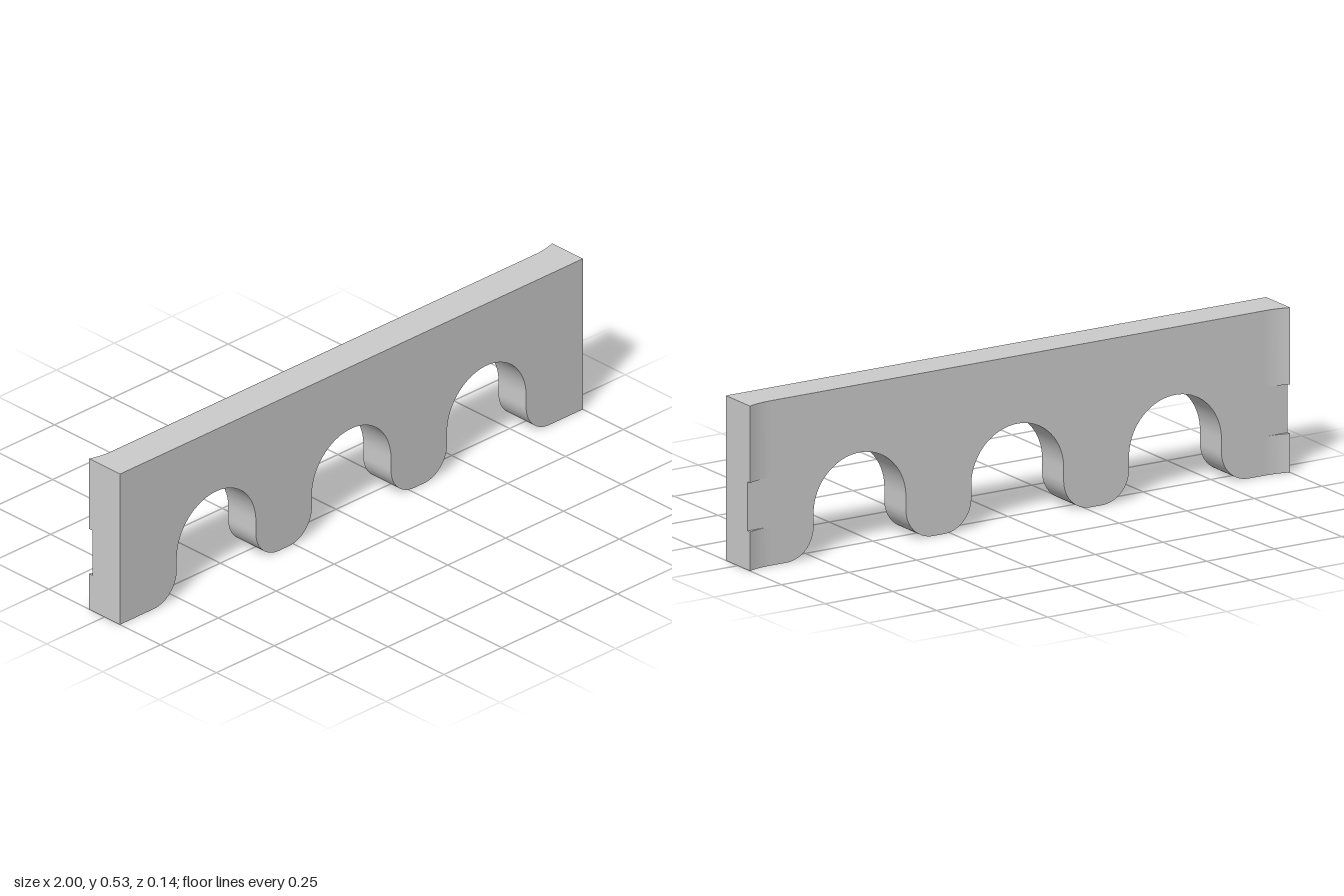
import * as THREE from 'three';
import { toCreasedNormals } from 'three/addons/utils/BufferGeometryUtils.js';

const HEIGHT = 0.534, FRONT = 0.069, BACK = 0.0545, FLARE = 0.0145, FLARE_WIDTH = 0.085;
const ARCH_R = 0.171, ARCH_Y = 0.143, FOOT_R = 0.1, ARCH_SPACING = 0.584;

const material = new THREE.MeshStandardMaterial({ color: 0xcccccc });

function extrude(shape, depth) {
  return new THREE.ExtrudeGeometry(shape, { depth, bevelEnabled: false, curveSegments: 24 });
}

function addMesh(group, name, geometry) {
  const mesh = new THREE.Mesh(toCreasedNormals(geometry, 0.5), material);
  mesh.name = name;
  group.add(mesh);
}

// Flat board with three arches and rounded feet along the lower edge
function panelShape() {
  const s = new THREE.Shape();
  s.moveTo(-1, 0);
  for (const i of [-1, 0, 1]) {
    const cx = i * ARCH_SPACING, footX = ARCH_R + FOOT_R;
    s.lineTo(cx - footX, 0);
    s.absarc(cx - footX, FOOT_R, FOOT_R, -Math.PI / 2, 0, false);
    s.lineTo(cx - ARCH_R, ARCH_Y);
    s.absarc(cx, ARCH_Y, ARCH_R, Math.PI, 0, true);
    s.lineTo(cx + ARCH_R, FOOT_R);
    s.absarc(cx + footX, FOOT_R, FOOT_R, Math.PI, Math.PI * 1.5, false);
  }
  s.lineTo(1, 0);
  s.lineTo(1, HEIGHT);
  s.lineTo(-1, HEIGHT);
  s.closePath();
  return s;
}

// Thin concave wedge that thickens the back towards one end
function flareShape(side) {
  const s = new THREE.Shape();
  s.moveTo(side, BACK);
  for (let i = 0; i <= 10; i++) {
    const t = i / 10;
    s.lineTo(side * (1 - FLARE_WIDTH * (1 - t)), BACK + FLARE * t * t);
  }
  s.closePath();
  return s;
}

export function createModel() {
  const group = new THREE.Group();
  group.name = 'archedPanel';

  const panel = extrude(panelShape(), FRONT + BACK);
  panel.translate(0, 0, -BACK);
  addMesh(group, 'panel', panel);

  // Back flares, split by a notch at each end
  for (const [side, label] of [[1, 'left'], [-1, 'right']]) {
    for (const [part, y0, y1] of [['Lower', 0, 0.126], ['Upper', 0.285, HEIGHT]]) {
      const flare = extrude(flareShape(side), y1 - y0);
      flare.rotateX(-Math.PI / 2);
      flare.translate(0, y0, 0);
      addMesh(group, `${label}${part}Flare`, flare);
    }
  }
  return group;
}
